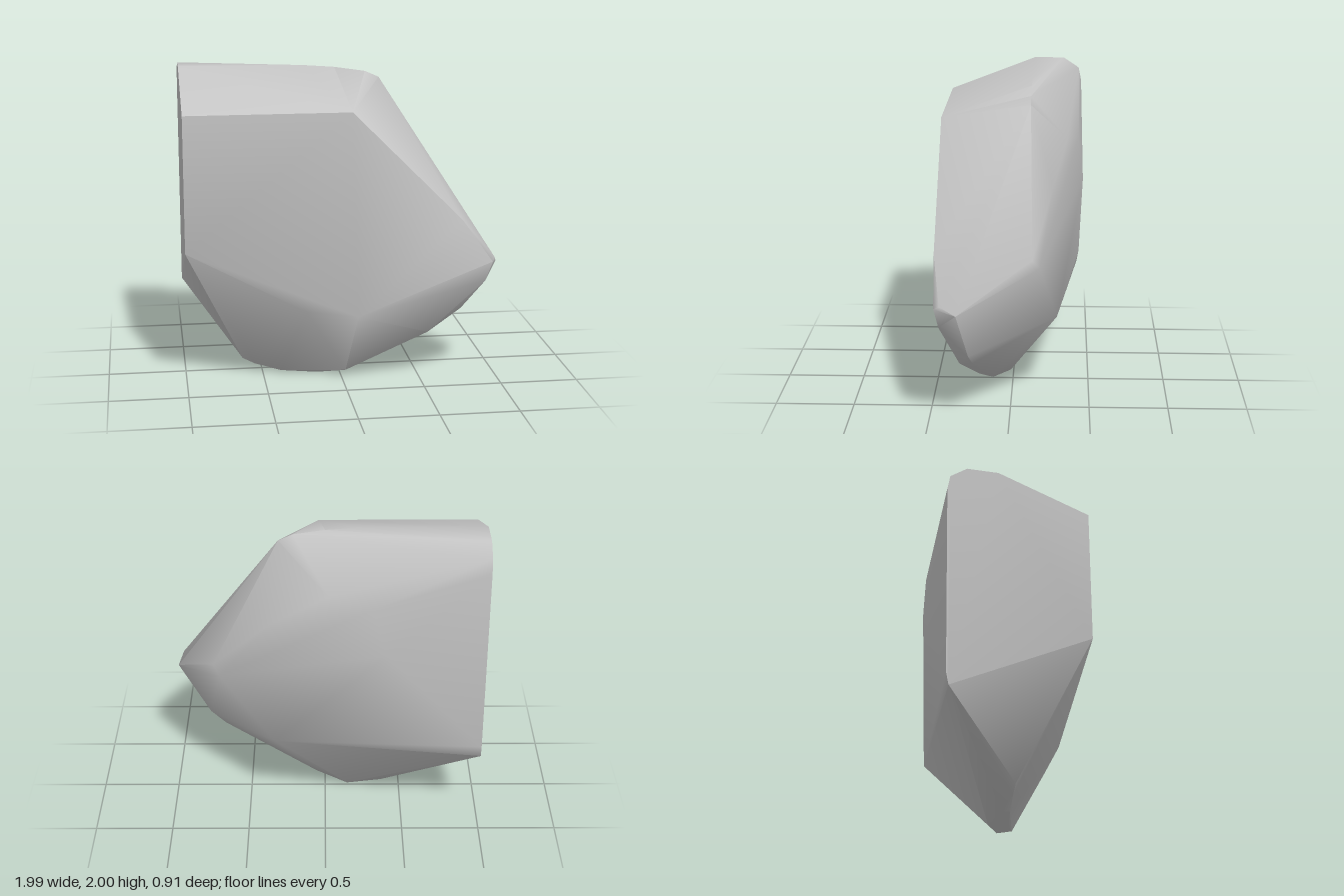
import * as THREE from 'three';
import { ConvexGeometry } from 'three/addons/geometries/ConvexGeometry.js';
import { toCreasedNormals } from 'three/addons/utils/BufferGeometryUtils.js';

export function createModel() {
  const group = new THREE.Group();
  group.name = 'rock';
  const stone = new THREE.MeshStandardMaterial({ color: 0xc5c5c5 });
  stone.name = 'light grey stone';

  // Corners of the split boulder, grouped by the face they bound
  const frontFace = [
    [-1, 1.78, 0.455], [0.04, 1.78, 0.455], [0.74, 1.08, 0.455], [0.94, 0.8, 0.445],
    [0.9, 0.67, 0.42], [0.08, 0.47, 0.455], [-0.25, 0.52, 0.455], [-1, 0.92, 0.455],
  ];
  const topRidge = [
    [-1, 2, -0.12], [-1, 2, -0.32], [-1, 1.93, -0.425], [-0.2, 1.995, -0.12],
    [0, 1.98, -0.12], [0.2, 1.95, -0.12], [0.29, 1.91, -0.12],
  ];
  const back = [
    [-1, 0.52, -0.425], [-1, 0.6, -0.44], [-1, 1.84, -0.443],
    [-0.38, 1.28, -0.455], [-0.29, 1.585, -0.422], [-0.02, 1.636, -0.349],
    [0.346, 1.397, -0.26], [0.33, 0.55, -0.29],
  ];
  const rightTip = [
    [0.68, 0.98, -0.185], [0.72, 1.04, -0.14],
    [0.99, 0.77, 0.31], [0.96, 0.82, 0.41],
    [0.91, 0.66, 0.28], [0.78, 0.44, 0.25], [0.68, 0.36, 0.23], [0.55, 0.31, 0.32],
  ];
  const underside = [
    [0.06, 0.03, 0.13], [0.03, 0.04, 0.22], [-0.15, 0.003, 0.02], [-0.15, 0.01, 0.15],
    [-0.38, 0.01, 0.05], [-0.38, 0.015, 0.1], [-0.55, 0.06, 0.075], [-0.63, 0.1, 0.07],
  ];

  // Hull of all the corners, with gentle edges smoothed and steep ones kept sharp
  const points = [frontFace, topRidge, back, rightTip, underside].flat()
    .map((p) => new THREE.Vector3(...p));
  const geometry = toCreasedNormals(new ConvexGeometry(points), 0.9);
  const boulder = new THREE.Mesh(geometry, stone);
  boulder.name = 'boulder';
  group.add(boulder);
  return group;
}
